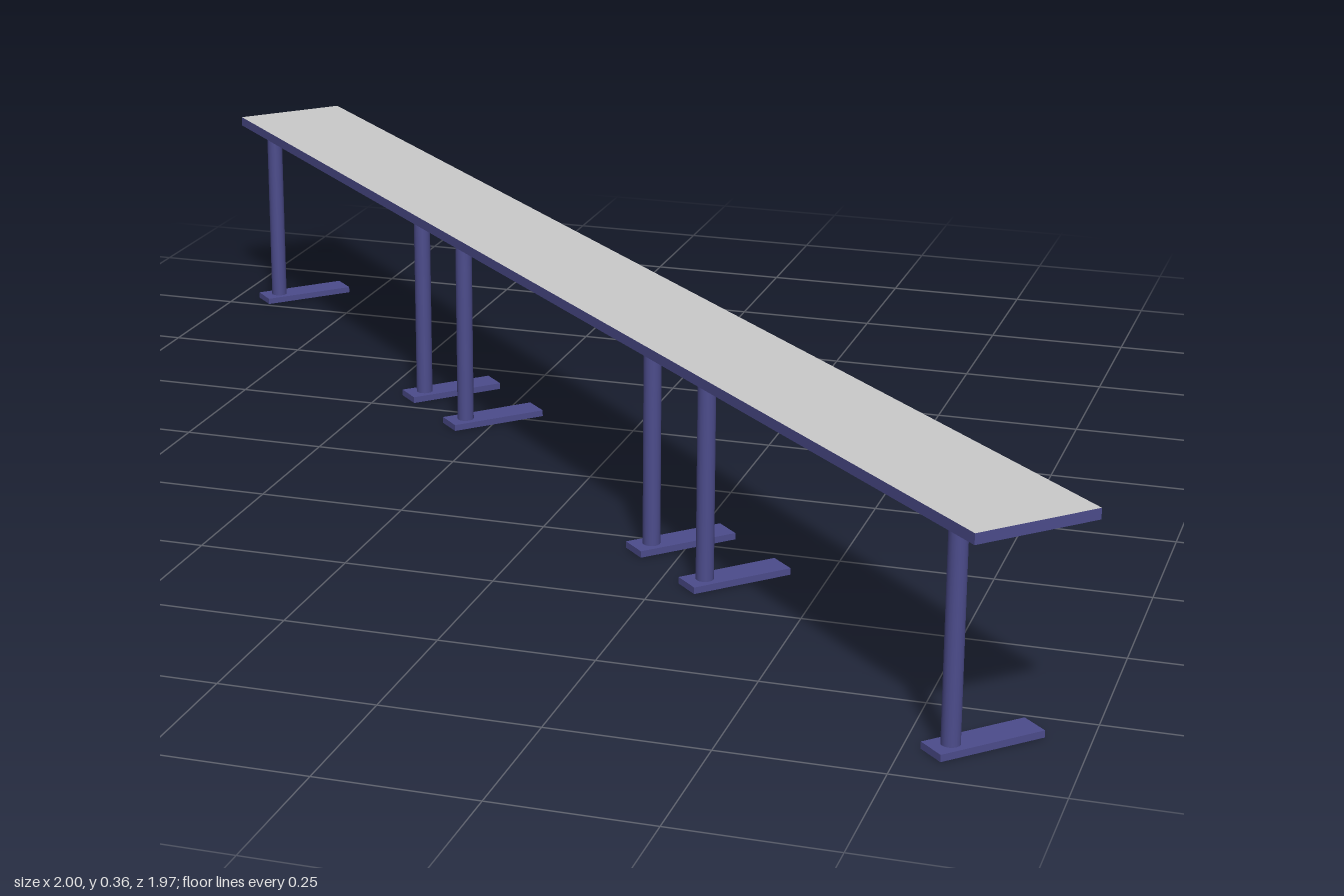
import * as THREE from 'three';

const LENGTH = 2.6, WIDTH = 0.207, TOP_Y = 0.36, THICK = 0.017;

export function createModel() {
  const model = new THREE.Group();
  const table = new THREE.Group();
  table.name = 'longTable';
  table.rotation.y = -0.776; // the table stands diagonally
  model.add(table);

  const grey = new THREE.MeshStandardMaterial({ color: 0xcccccc });
  const blue = new THREE.MeshStandardMaterial({ color: 0x4c4c8c });

  function add(parent, name, geometry, material, x, y, z) {
    const mesh = new THREE.Mesh(geometry, material);
    mesh.name = name;
    mesh.position.set(x, y, z);
    parent.add(mesh);
    return mesh;
  }

  // Table top: grey faces with a coloured edge band on all four sides
  const topGeometry = new THREE.BoxGeometry(LENGTH, THICK, WIDTH);
  add(table, 'tableTop', topGeometry, [blue, blue, grey, grey, blue, blue], 0, TOP_Y - THICK / 2, 0);

  // Three table sections, each with a pair of posts on flat feet
  const footHeight = 0.011;
  const postHeight = TOP_Y - THICK - footHeight;
  const postGeometry = new THREE.CylinderGeometry(0.0145, 0.0145, postHeight, 16, 1, true);
  const footGeometry = new THREE.BoxGeometry(0.05, footHeight, 0.175);
  const section = LENGTH / 3;
  for (const i of [-1, 0, 1]) {
    for (const side of [-1, 1]) {
      const leg = new THREE.Group();
      leg.name = 'leg';
      leg.position.x = i * section + side * (section / 2 - 0.087);
      add(leg, 'post', postGeometry, blue, 0, footHeight + postHeight / 2, 0.07);
      add(leg, 'foot', footGeometry, blue, 0, footHeight / 2, 0.0155);
      table.add(leg);
    }
  }
  return model;
}
